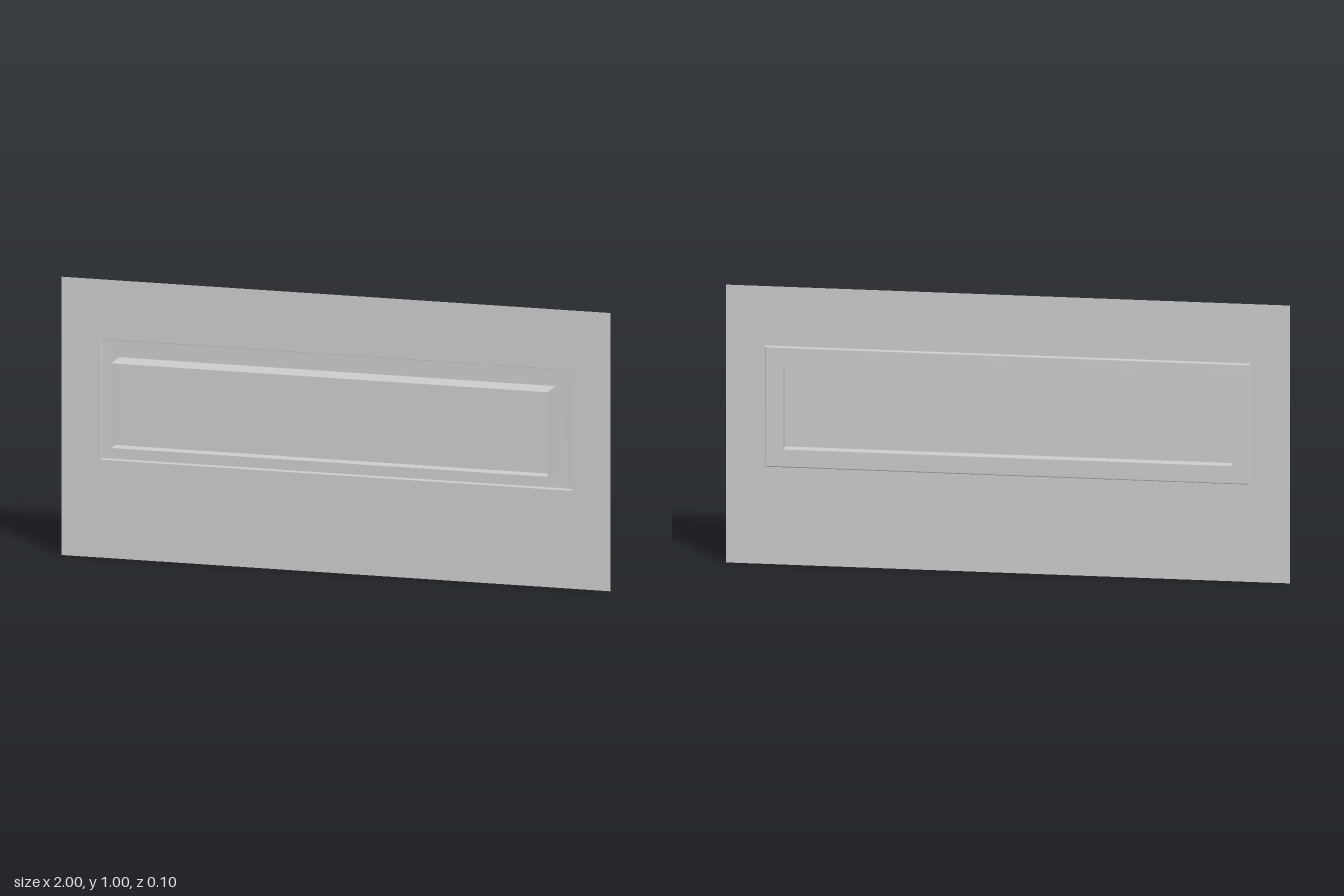
import * as THREE from 'three';

const material = new THREE.MeshStandardMaterial({ color: 0xcccccc, side: THREE.DoubleSide });

// Recess outline, and the depths of its layers
const X = 0.86, Y0 = 0.352, Y1 = 0.786, LIP = 0.065;
const BACK = -0.049, PANEL = -0.036, FLOOR = 0, FRONT = 0.049;

// Corners of the recess outline moved inwards by an inset
const corners = (inset) => [
  [-X + inset, Y0 + inset], [X - inset, Y0 + inset],
  [X - inset, Y1 - inset], [-X + inset, Y1 - inset],
];

function add(group, name, geometry) {
  const mesh = new THREE.Mesh(geometry, material);
  mesh.name = name;
  group.add(mesh);
  return mesh;
}

// Sweep an [inset, z] profile round the outline: smooth along the profile, mitred and sharp at corners
function sweepRectangle(profile) {
  const position = [], index = [];
  for (let side = 0; side < 4; side++) {
    const start = position.length / 3;
    profile.forEach(([inset, z], i) => {
      const c = corners(inset);
      position.push(...c[side], z, ...c[(side + 1) % 4], z);
      if (i === 0) return;
      const a = start + 2 * (i - 1);
      index.push(a, a + 1, a + 3, a, a + 3, a + 2);
    });
  }
  const geometry = new THREE.BufferGeometry();
  geometry.setAttribute('position', new THREE.Float32BufferAttribute(position, 3));
  geometry.setIndex(index);
  geometry.computeVertexNormals();
  return geometry;
}

export function createModel() {
  const group = new THREE.Group();
  group.name = 'recessedPanel';

  // Thin sheet with a rectangular opening
  const sheet = new THREE.Shape([[-1, 0], [1, 0], [1, 1], [-1, 1]].map((p) => new THREE.Vector2(...p)));
  sheet.holes.push(new THREE.Path(corners(0).reverse().map((p) => new THREE.Vector2(...p))));
  add(group, 'panel', new THREE.ShapeGeometry(sheet)).position.z = PANEL;

  // Shallow ledge set behind the sheet, with a rounded rear edge
  const r = 0.005, ledge = [[0, PANEL]];
  for (let i = 0; i <= 3; i++) {
    const t = (i / 3) * Math.PI / 2;
    ledge.push([r - r * Math.cos(t), BACK + r - r * Math.sin(t)]);
  }
  ledge.push([LIP, BACK]);
  add(group, 'ledge', sweepRectangle(ledge));

  // Open collar rising forward from the ledge
  add(group, 'collar', sweepRectangle([[LIP, BACK], [LIP, FRONT]]));

  // Plate closing the collar halfway along
  const plate = new THREE.PlaneGeometry(2 * (X - LIP), Y1 - Y0 - 2 * LIP);
  add(group, 'plate', plate).position.set(0, (Y0 + Y1) / 2, FLOOR);

  return group;
}
